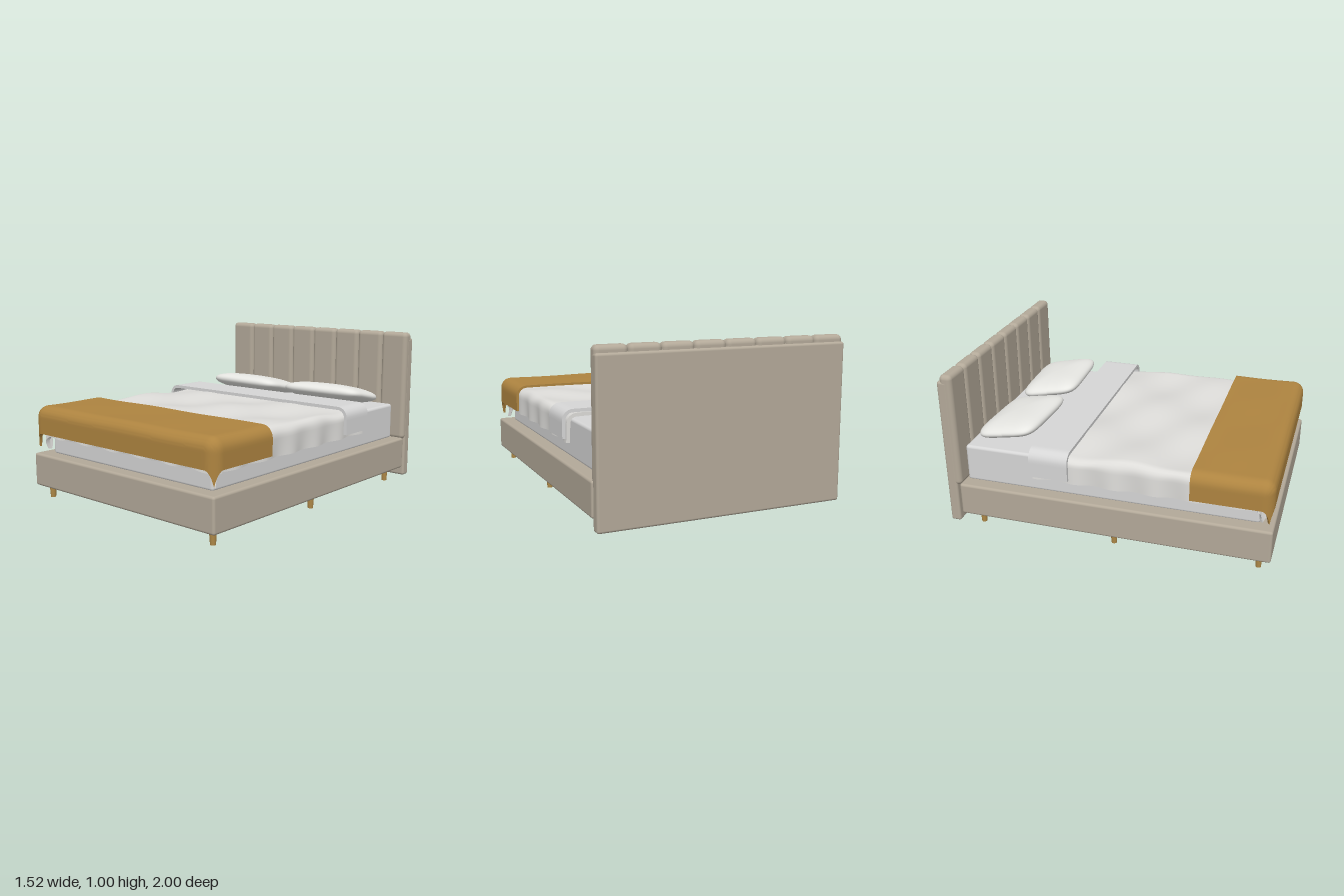
import * as THREE from 'three';
import { toCreasedNormals } from 'three/addons/utils/BufferGeometryUtils.js';
import { RoundedBoxGeometry } from 'three/addons/geometries/RoundedBoxGeometry.js';

const mat = (name, color) => new THREE.MeshStandardMaterial({ name, color });

// Thick cloth lying on a rectangle: what overhangs bends over the edge and hangs down.
// Corners that overhang both ways hang lower, as a real sheet does.
function drapeGeometry({ coreX, coreZ, zStart, top, r, thick, overX, overZ, wave, ripple }) {
  const nu = 100, nv = 70, U = coreX + overX, zEnd = coreZ + overZ;
  const point = (u, v, inset) => {
    const ex = Math.sign(u) * Math.max(0, Math.abs(u) - coreX);
    const ez = Math.max(0, v - coreZ);
    const L = Math.hypot(ex, ez), phi = Math.min(L / r, Math.PI / 2);
    const hang = Math.max(0, L - r * Math.PI / 2);
    const R = r - inset;
    const out = R * Math.sin(phi) + ripple * Math.sin(26 * (ex && !ez ? v : u + v)) * Math.min(1, L / overX);
    const bump = wave * Math.cos(phi) *
      (0.6 * Math.sin(9 * u + 7 * v) + 0.4 * Math.sin(13 * v - 8 * u + 1));
    return [
      THREE.MathUtils.clamp(u, -coreX, coreX) + (L ? ex / L * out : 0),
      top - r + R * Math.cos(phi) - hang + bump,
      Math.min(v, coreZ) + (L ? ez / L * out : 0),
    ];
  };
  const pos = [], idx = [], n = 2 * (nu + 1);
  for (let i = 0; i <= nv; i++) {
    const v = zStart + (zEnd - zStart) * i / nv;
    for (let j = 0; j <= nu; j++) pos.push(...point(-U + 2 * U * j / nu, v, 0));
    for (let j = nu; j >= 0; j--) pos.push(...point(-U + 2 * U * j / nu, v, thick));
  }
  const quad = (a, b, c, d) => idx.push(a, b, c, a, c, d);
  for (let i = 0; i < nv; i++) for (let j = 0; j < n; j++) {
    const k = (j + 1) % n;
    quad(i * n + j, (i + 1) * n + j, (i + 1) * n + k, i * n + k);
  }
  // hems at the two ends
  for (let j = 0; j < nu; j++) {
    const e = nv * n, a = n - 1 - j;
    quad(e + a, e + a - 1, e + j + 1, e + j);
    quad(j, j + 1, a - 1, a);
  }
  const g = new THREE.BufferGeometry();
  g.setAttribute('position', new THREE.Float32BufferAttribute(pos, 3));
  g.setIndex(idx);
  return toCreasedNormals(g, 0.7);
}

// Cushion: a sphere squared off in plan and flattened
function pillowGeometry(hx, hy, hz) {
  const g = new THREE.SphereGeometry(1, 64, 28), p = g.attributes.position;
  const pow = (t, e) => Math.sign(t) * Math.pow(Math.abs(t), e);
  for (let i = 0; i < p.count; i++) {
    const x = p.getX(i), y = p.getY(i), z = p.getZ(i), s = Math.hypot(x, z);
    const c = s > 1e-6 ? x / s : 0, d = s > 1e-6 ? z / s : 0, q = Math.pow(s, 0.85);
    p.setXYZ(i, hx * q * pow(c, 0.38), hy * pow(y, 0.95), hz * q * pow(d, 0.38));
  }
  g.computeVertexNormals();
  return g;
}

export function createModel() {
  const fabric = mat('upholstery', 0xb3a999);
  const mattressWhite = mat('mattress white', 0xd6d6d6);
  const linen = mat('duvet linen', 0xdddcd9);
  const pillowWhite = mat('pillow white', 0xe8e8e4);
  const ochre = mat('ochre throw', 0xae8440);
  const wood = mat('leg wood', 0xb08a48);

  const bed = new THREE.Group();
  bed.name = 'bed';
  const add = (name, geo, material, x = 0, y = 0, z = 0) => {
    const m = new THREE.Mesh(geo, material);
    m.name = name;
    m.position.set(x, y, z);
    bed.add(m);
    return m;
  };
  // rounded box from its lower and upper limits
  const block = (name, material, r, x0, x1, y0, y1, z0, z1) =>
    add(name, new RoundedBoxGeometry(x1 - x0, y1 - y0, z1 - z0, 4, r), material,
      (x0 + x1) / 2, (y0 + y1) / 2, (z0 + z1) / 2);

  // Frame, mattress and headboard
  block('bedBase', fabric, 0.015, -0.76, 0.76, 0.08, 0.287, -0.92, 1);
  block('mattress', mattressWhite, 0.018, -0.675, 0.675, 0.28, 0.515, -0.9, 0.915);
  block('headboardPanel', fabric, 0.015, -0.76, 0.76, 0.02, 0.96, -1, -0.935);
  const w = 1.52 / 8;
  for (let i = 0; i < 8; i++) {
    const x = -0.76 + i * w;
    block('headboardChannel', fabric, 0.028, x + 0.001, x + w - 0.001, 0.275, 1, -0.985, -0.907);
  }

  // Tapered legs
  const legGeo = new THREE.CylinderGeometry(0.022, 0.016, 0.085, 20);
  for (const x of [-0.685, 0.685])
    for (const z of [0.925, 0.05, -0.81]) add('leg', legGeo, wood, x, 0.0425, z);

  // Bedding
  add('duvet', drapeGeometry({
    coreX: 0.675, coreZ: 0.9, zStart: -0.44, top: 0.555, r: 0.05, thick: 0.022,
    overX: 0.194, overZ: 0.194, wave: 0.015, ripple: 0.01,
  }), linen);
  add('foldedSheet', drapeGeometry({
    coreX: 0.695, coreZ: -0.21, zStart: -0.45, top: 0.587, r: 0.065, thick: 0.02,
    overX: 0.207, overZ: 0, wave: 0, ripple: 0,
  }), mattressWhite);
  add('throwBlanket', drapeGeometry({
    coreX: 0.69, coreZ: 0.925, zStart: 0.52, top: 0.587, r: 0.07, thick: 0.015,
    overX: 0.211, overZ: 0.211, wave: 0.003, ripple: 0,
  }), ochre);

  // Pillows, mirrored
  const pillowGeo = pillowGeometry(0.29, 0.058, 0.195);
  for (const s of [-1, 1]) {
    const p = add('pillow', pillowGeo, pillowWhite, s * 0.328, 0.588, -0.665);
    p.rotation.set(-0.2, s * 0.045, 0, 'YXZ');
  }
  return bed;
}
